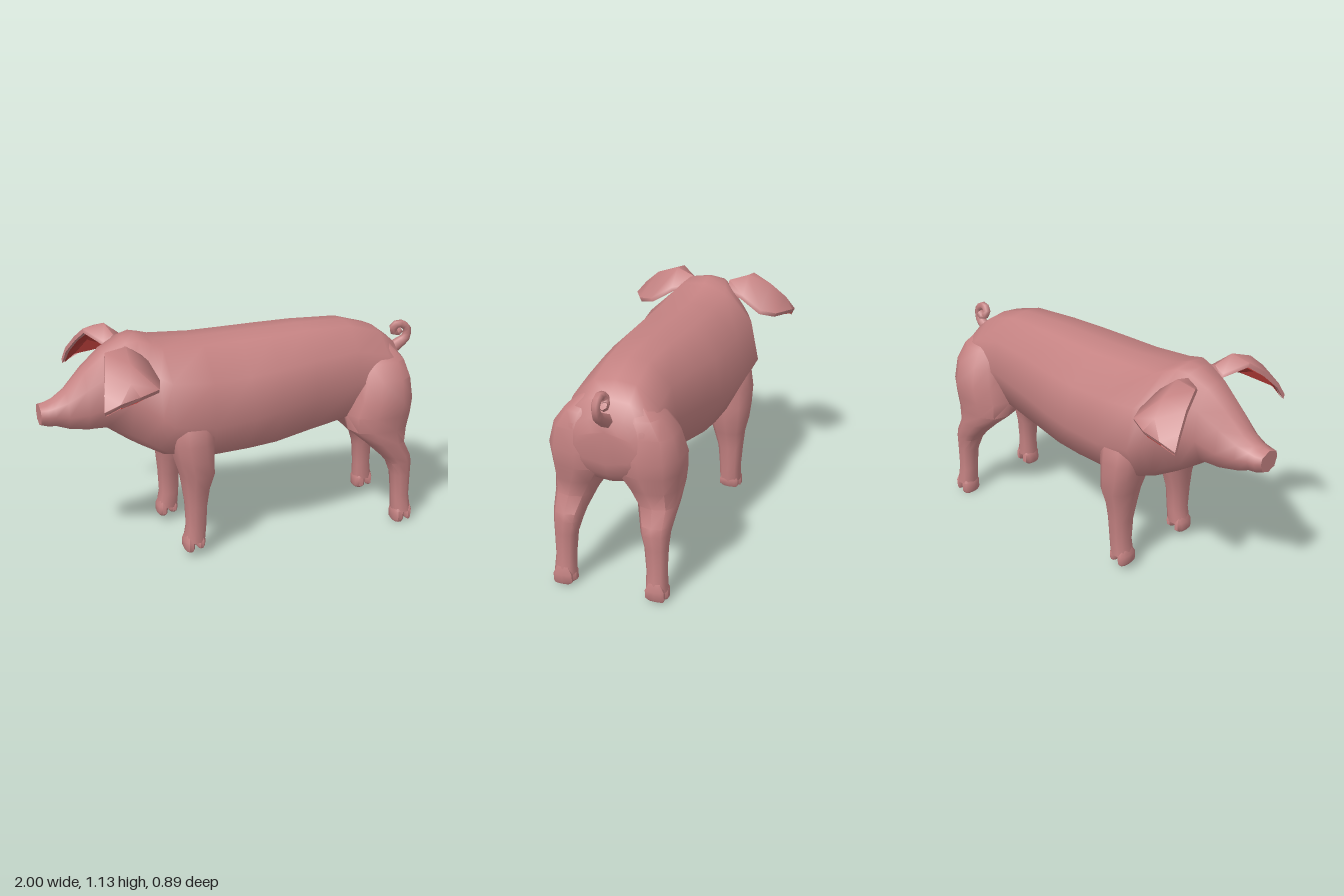
import * as THREE from 'three';
import { toCreasedNormals } from 'three/addons/utils/BufferGeometryUtils.js';

const skin = new THREE.MeshStandardMaterial({ color: 0xc48282 });
skin.name = 'pinkSkin';
const lining = new THREE.MeshStandardMaterial({ color: 0xb03a36, side: THREE.DoubleSide });
lining.name = 'innerEarRed';

// Skin a list of rings (right-handed about the direction of travel) and cap both ends;
// side -1 mirrors the result in z
function loft(rings, side = 1, crease = 0.8) {
  const n = rings[0].length, idx = [];
  const pos = rings.flat().flatMap(([x, y, z]) => [x, y, z * side]);
  const tri = (a, b, c) => (side > 0 ? idx.push(a, b, c) : idx.push(a, c, b));
  for (let i = 0; i < rings.length - 1; i++) {
    for (let j = 0; j < n; j++) {
      const a = i * n + j, b = i * n + (j + 1) % n;
      tri(a, b, a + n);
      tri(b, b + n, a + n);
    }
  }
  const last = (rings.length - 1) * n;
  for (let j = 1; j < n - 1; j++) {
    tri(0, j + 1, j);
    tri(last, last + j, last + j + 1);
  }
  const g = new THREE.BufferGeometry();
  g.setAttribute('position', new THREE.Float32BufferAttribute(pos, 3));
  g.setIndex(idx);
  return toCreasedNormals(g, crease);
}

function add(parent, name, geometry, material = skin) {
  const mesh = new THREE.Mesh(geometry, material);
  mesh.name = name;
  parent.add(mesh);
}

// Body cross-section: flat back, broad flanks, tucked belly
function bodyRing([x, top, bottom, w, mid]) {
  const half = [
    [top - 0.012, 0.42 * w],
    [mid + 0.58 * (top - mid), 0.87 * w],
    [mid, w],
    [bottom + 0.25 * (mid - bottom), 0.71 * w],
    [bottom + 0.01, 0.33 * w],
  ];
  return [
    [x, top, 0], ...half.map(([y, z]) => [x, y, z]),
    [x, bottom, 0], ...half.reverse().map(([y, z]) => [x, y, -z]),
  ];
}

// Limb cross-section: rounded box within the given limits
function limbRing([y, x0, x1, z0, z1]) {
  const ring = [], sides = 10;
  const soft = (v) => Math.sign(v) * Math.abs(v) ** 0.8;
  for (let i = 0; i < sides; i++) {
    const a = (i / sides) * Math.PI * 2;
    ring.push([
      (x0 + x1) / 2 + soft(Math.cos(a)) * (x1 - x0) / 2,
      y,
      (z0 + z1) / 2 + soft(Math.sin(a)) * (z1 - z0) / 2,
    ]);
  }
  return ring;
}
const limb = (rows, side) => loft(rows.map(limbRing), side);

// Snout to rump: x, top, bottom, half width, height of widest point
const BODY = [
  [-1.0, 0.83, 0.72, 0.062, 0.78], [-0.965, 0.837, 0.71, 0.072, 0.775],
  [-0.93, 0.85, 0.708, 0.075, 0.775], [-0.87, 0.89, 0.685, 0.092, 0.77],
  [-0.78, 0.985, 0.67, 0.122, 0.78], [-0.68, 1.07, 0.67, 0.15, 0.82],
  [-0.58, 1.12, 0.6, 0.185, 0.83], [-0.52, 1.13, 0.565, 0.228, 0.81],
  [-0.46, 1.11, 0.535, 0.285, 0.77], [-0.41, 1.092, 0.51, 0.322, 0.74],
  [-0.2, 1.08, 0.47, 0.31, 0.7], [0, 1.08, 0.475, 0.315, 0.72],
  [0.15, 1.083, 0.48, 0.303, 0.74], [0.35, 1.087, 0.51, 0.272, 0.77],
  [0.6, 1.08, 0.55, 0.235, 0.8], [0.77, 1.03, 0.555, 0.24, 0.78],
  [0.85, 0.97, 0.565, 0.235, 0.77], [0.89, 0.89, 0.61, 0.205, 0.75],
  [0.908, 0.83, 0.67, 0.15, 0.75],
];

// Legs, top to bottom: y, x range, z range
const FRONT_LEG = [
  [0.82, -0.39, -0.22, 0.1, 0.25], [0.7, -0.415, -0.185, 0.1, 0.312],
  [0.62, -0.41, -0.19, 0.1, 0.324], [0.53, -0.39, -0.19, 0.09, 0.322],
  [0.45, -0.365, -0.19, 0.11, 0.315], [0.37, -0.35, -0.215, 0.13, 0.295],
  [0.28, -0.34, -0.23, 0.155, 0.285], [0.16, -0.335, -0.235, 0.165, 0.275],
  [0.08, -0.35, -0.242, 0.165, 0.275],
];
const HIND_LEG = [
  [0.96, 0.71, 0.82, 0.05, 0.15], [0.89, 0.65, 0.88, 0.04, 0.235],
  [0.81, 0.615, 0.9, 0.02, 0.295], [0.7, 0.585, 0.912, -0.02, 0.325],
  [0.62, 0.562, 0.905, 0.0, 0.318], [0.54, 0.565, 0.885, 0.06, 0.306],
  [0.46, 0.66, 0.868, 0.11, 0.3], [0.38, 0.745, 0.905, 0.14, 0.29],
  [0.34, 0.78, 0.912, 0.15, 0.285], [0.27, 0.805, 0.908, 0.17, 0.28],
  [0.15, 0.815, 0.906, 0.18, 0.276], [0.055, 0.818, 0.92, 0.18, 0.284],
];

// Cloven toe that grows out of the leg
const toe = (x0, x1, top, bottom, z0, z1) => [
  [top + 0.04, x0 + 0.015, x1 - 0.01, z0 + 0.02, z1 - 0.02],
  [top, x0, x1, z0, z1],
  [bottom + 0.012, x0, x1 - 0.004, z0, z1],
  [bottom, x0 + 0.006, x1 - 0.01, z0 + 0.015, z1 - 0.005],
];

// Ear rows from root to tip: front, middle and back points
const EAR = [
  [[-0.64, 1.07, 0.1], [-0.59, 1.1, 0.1], [-0.53, 1.07, 0.11]],
  [[-0.715, 1.115, 0.2], [-0.61, 1.133, 0.2], [-0.505, 1.05, 0.2]],
  [[-0.74, 1.05, 0.29], [-0.63, 1.09, 0.32], [-0.483, 0.985, 0.31]],
  [[-0.77, 0.97, 0.37], [-0.65, 1.02, 0.4], [-0.51, 0.97, 0.385]],
  [[-0.782, 0.9, 0.41], [-0.71, 0.94, 0.435], [-0.62, 0.965, 0.443]],
];
const lower = ([x, y, z], d) => [x, y - d, z - d / 2];

function ear(side) {
  const under = (p) => lower(p, 0.02);
  return loft(EAR.map(([f, m, b]) => [under(f), under(m), under(b), b, m, f]), side, 1.1);
}

// Red lining in the hollow under the outer ear, leaving a pink rim
function earLining(side) {
  const inset = (p, m) => p.map((v, i) => v + 0.15 * (m[i] - v));
  const rows = EAR.slice(1).map(([f, m, b]) => [inset(f, m), m, inset(b, m)]
    .map((p) => lower(p, 0.026)).map(([x, y, z]) => [x, y, z * side]));
  const pos = [];
  for (let i = 0; i < rows.length - 1; i++) {
    for (let j = 0; j < 2; j++) {
      const a = rows[i][j], b = rows[i][j + 1], c = rows[i + 1][j], d = rows[i + 1][j + 1];
      pos.push(...[a, b, c, b, d, c].flat());
    }
  }
  const g = new THREE.BufferGeometry();
  g.setAttribute('position', new THREE.Float32BufferAttribute(pos, 3));
  g.computeVertexNormals();
  return g;
}

// Curled tail, thicker towards its root
function tail() {
  const curl = new THREE.CatmullRomCurve3([
    [0.87, 0.87, 0], [0.93, 0.905, 0], [0.975, 0.94, 0.004], [0.978, 0.99, 0.006],
    [0.93, 1.018, 0.004], [0.902, 0.992, -0.006], [0.925, 0.962, -0.012], [0.95, 0.98, -0.014],
  ].map((p) => new THREE.Vector3(...p)));
  const steps = 14, sides = 6;
  const g = new THREE.TubeGeometry(curl, steps, 0.022, sides);
  const p = g.attributes.position, v = new THREE.Vector3();
  for (let i = 0; i <= steps; i++) {
    const c = curl.getPointAt(i / steps), k = 1 + 0.7 * Math.max(0, 1 - i / 6);
    for (let j = i * (sides + 1); j < (i + 1) * (sides + 1); j++) {
      v.fromBufferAttribute(p, j).sub(c).multiplyScalar(k).add(c);
      p.setXYZ(j, v.x, v.y, v.z);
    }
  }
  return g;
}

export function createModel() {
  const pig = new THREE.Group();
  pig.name = 'pig';
  add(pig, 'body', loft(BODY.map(bodyRing), 1, 1.2));

  for (const side of [1, -1]) {
    const label = side > 0 ? 'Near' : 'Far';
    add(pig, 'frontLeg' + label, limb(FRONT_LEG, side));
    add(pig, 'frontLegToeA' + label, limb(toe(-0.352, -0.296, 0.085, 0.033, 0.165, 0.275), side));
    add(pig, 'frontLegToeB' + label, limb(toe(-0.292, -0.242, 0.085, 0.045, 0.168, 0.272), side));
    add(pig, 'hindLeg' + label, limb(HIND_LEG, side));
    add(pig, 'hindLegToeA' + label, limb(toe(0.816, 0.882, 0.06, 0, 0.18, 0.284), side));
    add(pig, 'hindLegToeB' + label, limb(toe(0.884, 0.922, 0.06, 0.008, 0.183, 0.28), side));
    add(pig, 'ear' + label, ear(side));
    add(pig, 'earLining' + label, earLining(side), lining);
  }
  add(pig, 'tail', tail());
  return pig;
}
